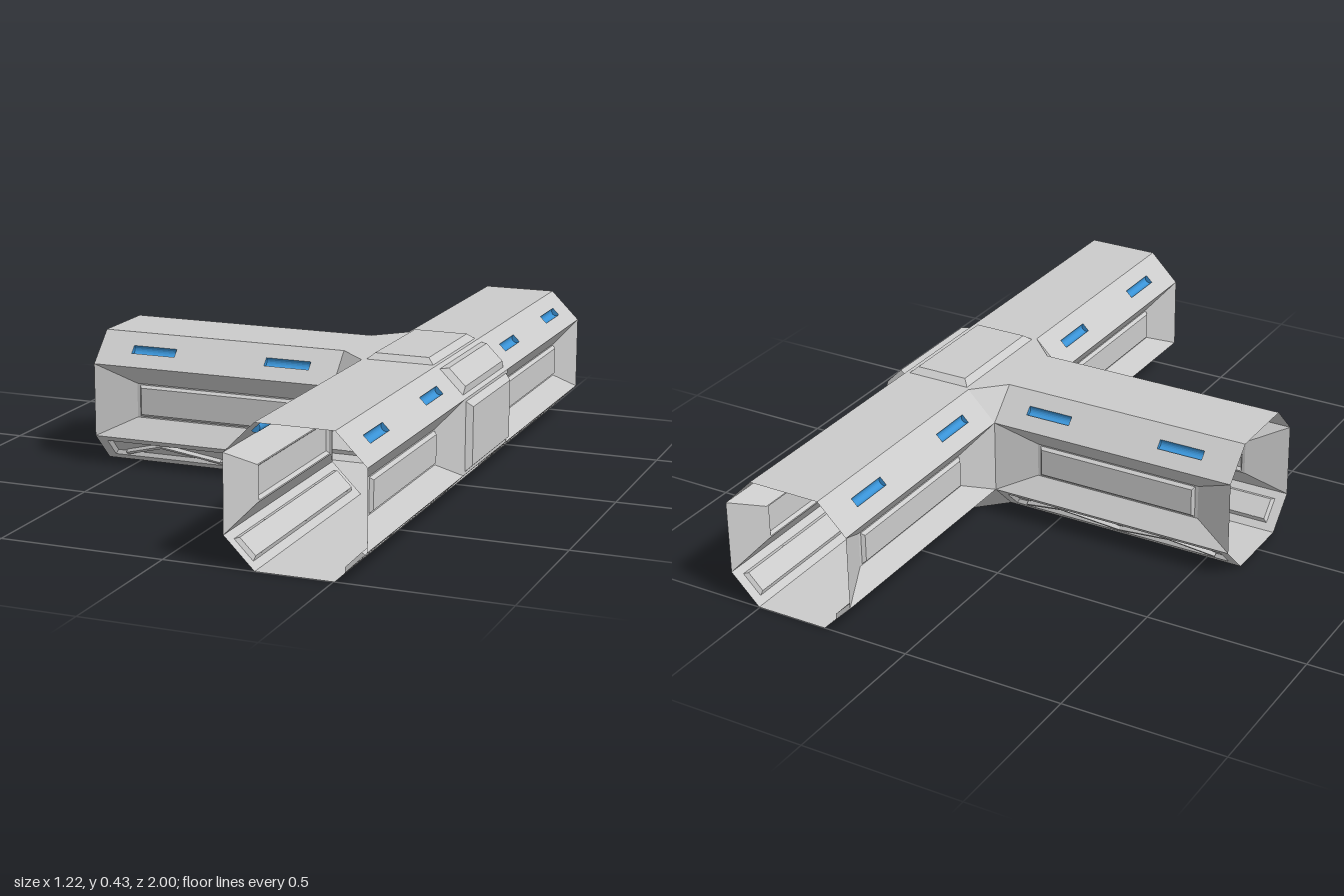
import * as THREE from 'three';

const W = 0.206;            // half width of the octagonal corridor
const H = 2 * W;            // corridor height
const CH = 0.091;           // chamfer leg
const CW = CH * Math.SQRT2; // chamfer face width
const FLAT = 2 * (W - CH);  // width of each straight face
const L = 1 - W;            // arm length
const CX = 0.388;           // x of the junction centre

const grey = new THREE.MeshStandardMaterial({ color: 0xcccccc, flatShading: true, side: THREE.DoubleSide });
const blue = new THREE.MeshStandardMaterial({ color: 0x3a94d8, flatShading: true, side: THREE.DoubleSide });

function add(parent, name, geometry, material = grey) {
  const mesh = new THREE.Mesh(geometry, material);
  mesh.name = name;
  parent.add(mesh);
  return mesh;
}

function group(parent, name) {
  const g = new THREE.Group();
  g.name = name;
  parent.add(g);
  return g;
}

function triangles(points) {
  const geo = new THREE.BufferGeometry();
  geo.setAttribute('position', new THREE.Float32BufferAttribute(points.flat(), 3));
  geo.computeVertexNormals();
  return geo;
}

// Panel facing +z, made of nested rectangles [width, height, z], the last one filled
function panel(rings) {
  const loops = rings.map(([w, h, z]) =>
    [[-w / 2, -h / 2, z], [w / 2, -h / 2, z], [w / 2, h / 2, z], [-w / 2, h / 2, z]]);
  const pts = [];
  for (let r = 0; r < loops.length - 1; r++) {
    for (let i = 0; i < 4; i++) {
      const j = (i + 1) % 4;
      const [a, b, c, d] = [loops[r][i], loops[r][j], loops[r + 1][j], loops[r + 1][i]];
      pts.push(a, b, c, a, c, d);
    }
  }
  const [a, b, c, d] = loops[loops.length - 1];
  pts.push(a, b, c, a, c, d);
  return triangles(pts);
}

// Puts a panel or group on the wall (0), upper chamfer (1) or lower chamfer (-1)
function place(object, level) {
  const inset = level ? CH / 2 : 0;
  object.position.set(0, W + level * (W - inset), W - inset);
  object.rotation.x = -level * Math.PI / 4;
  return object;
}

// Upper chamfer with two half-round light slots
function lightPanel(parent, shift) {
  const g = place(group(parent, 'lightPanel'), 1);
  const r = 0.0145, len = 0.145;
  const rect = (path, x, w, h) => path.moveTo(x - w / 2, -h / 2).lineTo(x + w / 2, -h / 2)
    .lineTo(x + w / 2, h / 2).lineTo(x - w / 2, h / 2).closePath();
  const shape = new THREE.Shape();
  rect(shape, 0, L, CW);
  for (const x of [-0.222 + shift, 0.222 + shift]) {
    const hole = new THREE.Path();
    rect(hole, x, len, 2 * r);
    shape.holes.push(hole);
    const light = add(g, 'light', new THREE.CylinderGeometry(r, r, len, 10, 1, false, Math.PI / 2, Math.PI), blue);
    light.rotation.z = Math.PI / 2;
    light.position.x = x;
  }
  add(g, 'upperChamfer', new THREE.ShapeGeometry(shape));
}

// Lower chamfer with a sunken field and zigzag bracing
function trussPanel(parent) {
  const g = place(group(parent, 'trussPanel'), -1);
  const depth = 0.012;
  add(g, 'lowerChamfer', panel([[L, CW, 0], [0.73, 0.08, 0], [0.715, 0.066, -depth]]));
  const zig = [[-0.32, -0.029], [-0.185, 0.029], [0, -0.029], [0.185, 0.029], [0.32, -0.029]];
  for (let i = 0; i < 4; i++) {
    const [x0, y0] = zig[i], [x1, y1] = zig[i + 1];
    const bar = add(g, 'brace', new THREE.BoxGeometry(Math.hypot(x1 - x0, y1 - y0) + 0.004, 0.011, depth));
    bar.position.set((x0 + x1) / 2, (y0 + y1) / 2, -depth / 2);
    bar.rotation.z = Math.atan2(y1 - y0, x1 - x0);
  }
}

// Corridor arm running along local x, centred on its middle
function arm(parent, name, x, z, turn) {
  const g = group(parent, name);
  g.position.set(x, 0, z);
  g.rotation.y = turn;
  for (const s of [1, -1]) {
    const side = group(g, 'armSide');
    side.rotation.y = s > 0 ? 0 : Math.PI;
    place(add(side, 'recessedWall', panel([
      [L, FLAT, 0], [L - 0.25, 0.108, -0.046], [L - 0.27, 0.1, -0.046], [L - 0.285, 0.084, -0.036],
    ])), 0);
    lightPanel(side, -0.01 * s);
    trussPanel(side);
    const slab = add(g, s > 0 ? 'roof' : 'floor', new THREE.PlaneGeometry(L, FLAT));
    slab.rotation.x = -s * Math.PI / 2;
    slab.position.y = s > 0 ? H : 0;
  }
}

function junction(parent) {
  const g = group(parent, 'junction');
  g.position.x = CX;
  const e = W - CH;

  // Roof and floor with clipped inner corners
  const outline = new THREE.Shape([[-W, -e], [-e, -W], [e, -W], [e, W], [-e, W], [-W, e]]
    .map(([x, y]) => new THREE.Vector2(x, y)));
  for (const s of [1, -1]) {
    const slab = add(g, s > 0 ? 'junctionRoof' : 'junctionFloor', new THREE.ShapeGeometry(outline));
    slab.rotation.x = -s * Math.PI / 2;
    slab.position.y = s > 0 ? H : 0;
  }

  // Corner gussets between the branch and the main corridor
  for (const sy of [1, -1]) for (const sz of [1, -1]) {
    const a = [-W, W + sy * W, sz * e], b = [-e, W + sy * W, sz * W], c = [-W, W + sy * e, sz * W];
    add(g, 'gusset', triangles(sy * sz > 0 ? [a, c, b] : [a, b, c]));
  }

  // Raised roof hatch
  const hatch = add(g, 'roofHatch', panel([[0.207, 0.39, 0], [0.168, 0.35, 0.017]]));
  hatch.rotation.x = -Math.PI / 2;
  hatch.position.y = H;

  // Closed side with raised plates and a sunken lower plate
  const side = group(g, 'closedSide');
  side.rotation.y = Math.PI / 2;
  place(add(side, 'sidePlate', panel([[H, FLAT, 0], [0.388, 0.212, 0], [0.356, 0.178, 0.018]])), 0);
  place(add(side, 'upperPlate', panel([[H, CW, 0], [0.388, 0.102, 0], [0.356, 0.072, 0.017]])), 1);
  place(add(side, 'lowerPlate', panel([[H, CW, 0], [0.388, 0.102, 0], [0.37, 0.086, -0.012]])), -1);
}

export function createModel() {
  const model = new THREE.Group();
  model.name = 'corridorJunction';
  const mid = W + L / 2;
  arm(model, 'frontArm', CX, mid, -Math.PI / 2);
  arm(model, 'backArm', CX, -mid, Math.PI / 2);
  arm(model, 'branchArm', CX - mid, 0, Math.PI);
  junction(model);
  return model;
}
